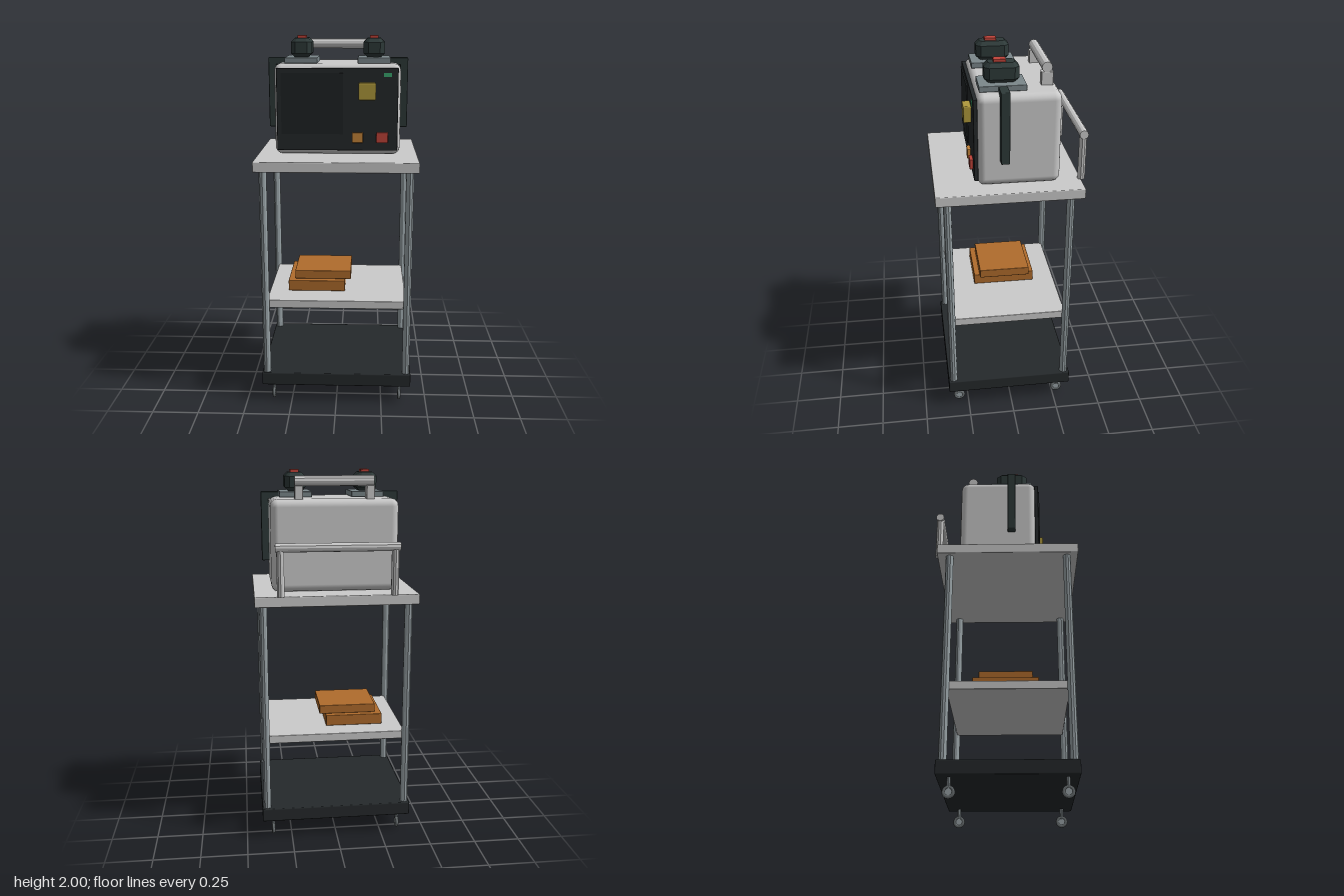
import * as THREE from 'three';
import { RoundedBoxGeometry } from 'three/addons/geometries/RoundedBoxGeometry.js';

const mat = (color, flatShading = false) => new THREE.MeshStandardMaterial({ color, flatShading });
const GREY = mat(0xcccccc), GREY_FLAT = mat(0xcccccc, true);
const STEEL = mat(0x9aa4a8, true), PAD = mat(0x7c888c), DARK = mat(0x25292b), BLACK_GREEN = mat(0x2e3a39);
const BROWN = mat(0xb06c2c), YELLOW = mat(0xb09a3c), ORANGE = mat(0xc8863a), RED = mat(0xc2443a), GREEN = mat(0x3aa870);

export function createModel() {
  const model = new THREE.Group();

  const add = (name, geometry, material, x = 0, y = 0, z = 0) => {
    const mesh = new THREE.Mesh(geometry, material);
    mesh.name = name;
    mesh.position.set(x, y, z);
    model.add(mesh);
    return mesh;
  };
  // Box given by its limits on each axis; r rounds the edges
  const box = (name, material, [x0, x1], [y0, y1], [z0, z1], r = 0) => {
    const size = [x1 - x0, y1 - y0, z1 - z0];
    const geometry = r ? new RoundedBoxGeometry(...size, 2, r) : new THREE.BoxGeometry(...size);
    return add(name, geometry, material, (x0 + x1) / 2, (y0 + y1) / 2, (z0 + z1) / 2);
  };
  const post = (name, material, r, x, y0, y1, z, sides = 10) =>
    add(name, new THREE.CylinderGeometry(r, r, y1 - y0, sides), material, x, (y0 + y1) / 2, z);
  const barX = (name, r, length, y, z) => {
    const bar = add(name, new THREE.CylinderGeometry(r, r, length, 12), GREY_FLAT, 0, y, z);
    bar.rotation.z = Math.PI / 2;
  };
  // Box with a chamfered top and bottom and cut corners
  const chamferBox = (name, material, w, h, d, c, x, y, z) => {
    const a = w / 2 - c, b = d / 2 - c, k = c * 0.6;
    const shape = new THREE.Shape([
      [-a, -b + k], [-a + k, -b], [a - k, -b], [a, -b + k],
      [a, b - k], [a - k, b], [-a + k, b], [-a, b - k],
    ].map(([u, v]) => new THREE.Vector2(u, v)));
    const geometry = new THREE.ExtrudeGeometry(shape, {
      depth: h - 2 * c, bevelEnabled: true, bevelSize: c, bevelThickness: c, bevelSegments: 1,
    });
    geometry.rotateX(-Math.PI / 2).center();
    return add(name, geometry, material, x, y, z);
  };

  // Cart
  box('topTray', GREY, [-0.43, 0.43], [1.32, 1.375], [-0.372, 0.394], 0.005);
  box('middleShelf', GREY, [-0.38, 0.38], [0.55, 0.595], [-0.3, 0.325], 0.004);
  box('base', DARK, [-0.412, 0.412], [0.105, 0.178], [-0.338, 0.362], 0.006);
  for (const x of [-0.385, 0.385]) {
    for (const z of [-0.305, 0.333]) post('cartPost', STEEL, 0.021, x, 0.17, 1.33, z);
  }

  // Casters
  for (const x of [-0.352, 0.352]) {
    for (const z of [-0.274, 0.302]) {
      post('casterStem', STEEL, 0.009, x, 0.05, 0.11, z, 8);
      const tyre = add('casterTyre', new THREE.TorusGeometry(0.024, 0.009, 8, 16), mat(0x6a7072), x, 0.034, z);
      tyre.rotation.y = Math.PI / 2;
      const hub = add('casterHub', new THREE.CylinderGeometry(0.018, 0.018, 0.012, 12), STEEL, x, 0.034, z);
      hub.rotation.z = Math.PI / 2;
    }
  }

  // Push rail behind the tray
  barX('pushRail', 0.023, 0.64, 1.625, -0.374);
  for (const x of [-0.295, 0.295]) post('pushRailPost', GREY_FLAT, 0.02, x, 1.375, 1.625, -0.374);

  // Boxes on the shelf
  box('lowerSupplyBox', BROWN, [-0.275, 0.042], [0.595, 0.656], [-0.176, 0.172], 0.004);
  box('upperSupplyBox', BROWN, [-0.24, 0.076], [0.656, 0.705], [-0.145, 0.141], 0.004);

  // Device body and carry handle
  box('deviceBody', GREY, [-0.336, 0.336], [1.375, 1.857], [-0.257, 0.17], 0.04);
  barX('carryHandle', 0.027, 0.414, 1.947, -0.197);
  for (const x of [-0.187, 0.187]) {
    box('handleSupport', GREY, [x - 0.021, x + 0.021], [1.85, 1.925], [-0.229, -0.168], 0.004);
  }

  // Front panel, screen and controls
  box('frontPanel', DARK, [-0.321, 0.321], [1.402, 1.835], [0.165, 0.186], 0.003);
  box('screen', mat(0x1f2325), [-0.297, 0.03], [1.49, 1.81], [0.18, 0.193]);
  box('selectorKnob', YELLOW, [0.112, 0.203], [1.673, 1.761], [0.18, 0.225], 0.006);
  box('orangeButton', ORANGE, [0.079, 0.137], [1.446, 1.5], [0.18, 0.204], 0.003);
  box('redButton', RED, [0.208, 0.27], [1.446, 1.5], [0.18, 0.204], 0.003);
  box('statusLight', GREEN, [0.245, 0.285], [1.791, 1.812], [0.18, 0.191]);

  // Paddles with their rests and side cables, mirrored
  for (const s of [-1, 1]) {
    const span = (a, b) => (s > 0 ? [a, b] : [-b, -a]);
    box('paddleRest', PAD, span(0.106, 0.28), [1.857, 1.887], [-0.086, 0.152], 0.004);
    chamferBox('paddle', BLACK_GREEN, 0.112, 0.1, 0.176, 0.021, s * 0.193, 1.936, 0.033);
    box('paddleButton', RED, span(0.169, 0.216), [1.975, 2.0], [0.01, 0.073], 0.003);
    box('cableArm', BLACK_GREEN, span(0.27, 0.375), [1.845, 1.883], [0.01, 0.056], 0.004);
    box('cableDrop', BLACK_GREEN, span(0.334, 0.376), [1.51, 1.883], [0.01, 0.056], 0.005);
  }

  return model;
}
